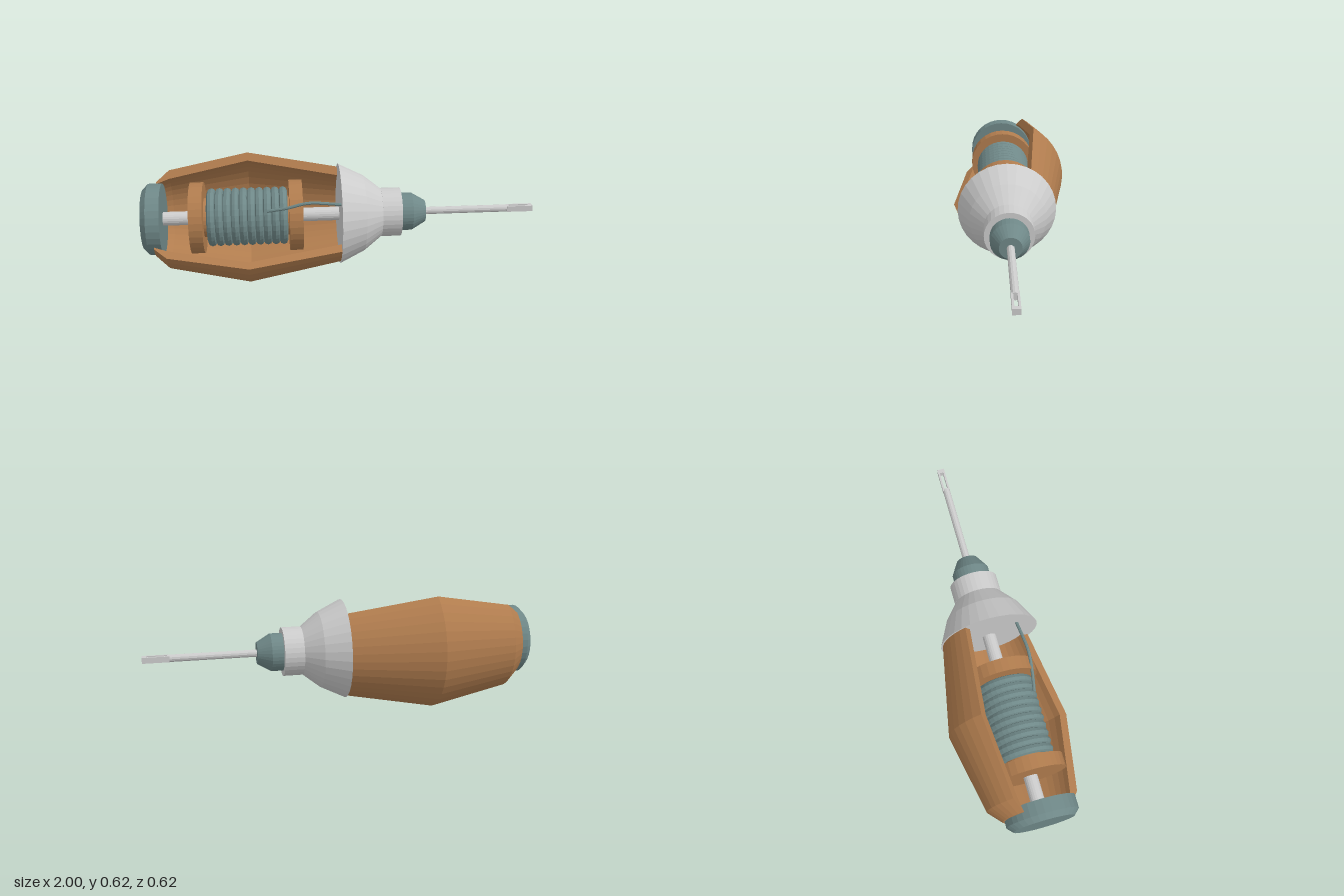
import * as THREE from 'three';

const AXIS_Y = 0.333, AXIS_Z = 0.023;
const rad = THREE.MathUtils.degToRad;

const material = (color, side = THREE.FrontSide) =>
  new THREE.MeshStandardMaterial({ color, side, flatShading: true });

// Turned part along x from [x, radius] pairs, listed from left to right
function turned(profile, segments = 32, start = 0, sweep = Math.PI * 2) {
  const pts = profile.map(([x, r]) => new THREE.Vector2(r, x));
  return new THREE.LatheGeometry(pts, segments, start, sweep).rotateZ(-Math.PI / 2);
}

// Solid disc or cone stack, closed at both ends
function solid(profile, segments) {
  const first = profile[0], last = profile[profile.length - 1];
  return turned([[first[0], 0], ...profile, [last[0], 0]], segments);
}

export function createModel() {
  const model = new THREE.Group();
  const body = new THREE.Group();
  body.name = 'tool';
  body.position.set(0, AXIS_Y, AXIS_Z);
  model.add(body);

  const grey = material(0xcccccc);
  const teal = material(0x6f8888);
  const brown = material(0xb07c4e);
  const brownDouble = material(0xb07c4e, THREE.DoubleSide);

  const add = (name, geometry, mat, parent = body) => {
    const mesh = new THREE.Mesh(geometry, mat);
    mesh.name = name;
    parent.add(mesh);
    return mesh;
  };

  // Cutaway housing: 210 degree thick shell with flat cut faces
  const housing = new THREE.Group();
  housing.name = 'housing';
  body.add(housing);
  const wall = [
    [-0.94, 0.19], [-0.875, 0.25], [-0.475, 0.333], [-0.015, 0.246],
    [-0.015, 0.2], [-0.475, 0.29], [-0.875, 0.205], [-0.94, 0.18],
  ];
  const start = rad(30), sweep = rad(210);
  add('housingShell', turned([...wall, wall[0]], 24, start, sweep), brownDouble, housing);
  const section = new THREE.Shape(wall.map(([x, r]) => new THREE.Vector2(r, x)));
  for (const phi of [start, start + sweep]) {
    const cut = new THREE.ShapeGeometry(section).rotateY(phi - Math.PI / 2).rotateZ(-Math.PI / 2);
    add('housingCutFace', cut, brownDouble, housing);
  }

  // End cap and through shaft
  add('endCap', solid([[-1, 0.152], [-0.972, 0.18], [-0.905, 0.18]], 32), teal);
  add('shaft', solid([[-0.91, 0.035], [-0.01, 0.035]], 20), grey);

  // Bobbin with two flanges and a ribbed winding
  for (const x of [-0.765, -0.27]) {
    add('bobbinFlange', solid([[x, 0.18], [x + 0.067, 0.18]], 32), brown);
  }
  add('bobbinCore', solid([[-0.7, 0.1], [-0.26, 0.1]], 32), brown);
  add('windingCore', solid([[-0.675, 0.128], [-0.285, 0.128]], 32), teal);
  const turns = 10;
  for (let i = 0; i < turns; i++) {
    const ring = new THREE.TorusGeometry(0.126, 0.022, 8, 32).rotateY(Math.PI / 2);
    add('windingTurn', ring, teal).position.x = -0.66 + i * 0.36 / (turns - 1);
  }

  // Lead wire from the winding to the nose
  const lead = new THREE.CatmullRomCurve3([
    new THREE.Vector3(-0.38, 0.072, 0.13),
    new THREE.Vector3(-0.28, 0.092, 0.147),
    new THREE.Vector3(-0.18, 0.117, 0.155),
    new THREE.Vector3(-0.01, 0.1, 0.142),
  ]);
  add('leadWire', new THREE.TubeGeometry(lead, 16, 0.008, 8), teal);

  // Nose cone, collar and chuck
  add('noseCone', solid([[-0.015, 0.256], [0.11, 0.195], [0.205, 0.12]], 32), grey);
  add('collar', solid([[0.2, 0.125], [0.3, 0.125]], 32), grey);
  add('chuck', solid([[0.29, 0.097], [0.36, 0.097], [0.43, 0.056]], 32), teal);

  // Needle with a flattened, slotted tip
  add('needle', solid([[0.42, 0.019], [0.875, 0.019]], 12), grey);
  const tip = new THREE.Shape();
  tip.moveTo(0.865, -0.019).lineTo(1, -0.019).lineTo(1, 0.019).lineTo(0.865, 0.019).closePath();
  const eye = new THREE.Path();
  eye.moveTo(0.876, -0.009).lineTo(0.876, 0.009).lineTo(0.978, 0.009).lineTo(0.978, -0.009).closePath();
  tip.holes.push(eye);
  const tipGeometry = new THREE.ExtrudeGeometry(tip, { depth: 0.03, bevelEnabled: false });
  add('needleTip', tipGeometry.translate(0, 0, -0.015).rotateX(Math.PI / 2), grey);

  return model;
}
